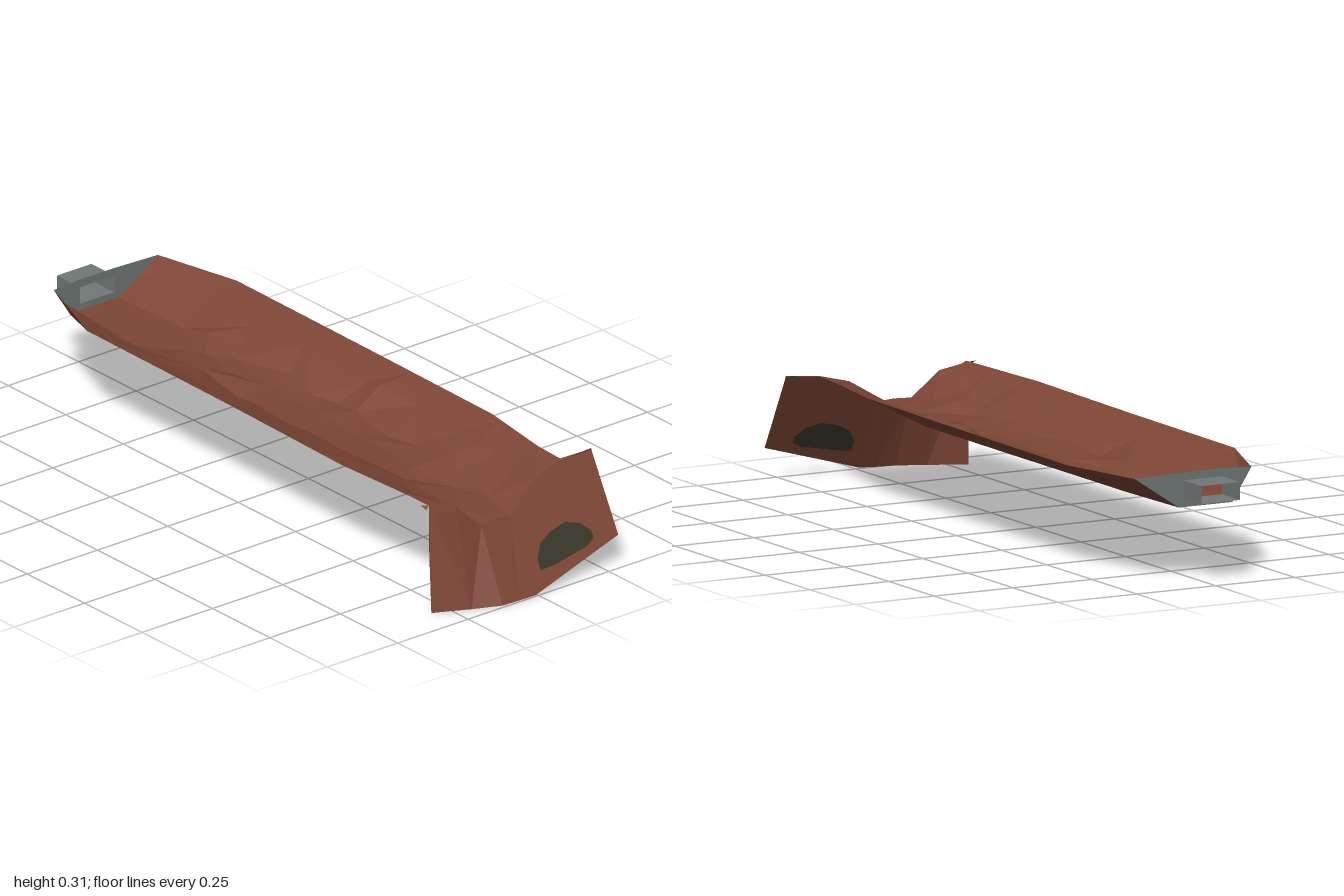
import * as THREE from 'three';

const material = (name, color) => {
  const m = new THREE.MeshStandardMaterial({ color, side: THREE.DoubleSide, flatShading: true });
  m.name = name;
  return m;
};

// Faceted sheet lofted through rows of [x, y, z] points
function sheet(rows, mat, name, closed = false) {
  const pos = [];
  for (let i = 0; i + 1 < rows.length; i++) {
    const a = rows[i], b = rows[i + 1], n = a.length;
    for (let j = 0; j < (closed ? n : n - 1); j++) {
      const k = (j + 1) % n;
      if ((i + j) % 2) pos.push(...a[j], ...b[j], ...b[k], ...a[j], ...b[k], ...a[k]);
      else pos.push(...a[j], ...b[j], ...a[k], ...b[j], ...b[k], ...a[k]);
    }
  }
  const g = new THREE.BufferGeometry();
  g.setAttribute('position', new THREE.Float32BufferAttribute(pos, 3));
  g.computeVertexNormals();
  const mesh = new THREE.Mesh(g, mat);
  mesh.name = name;
  return mesh;
}

// Trough plan: z, left rim, left floor edge, right floor edge, right rim
const PLAN = [
  [-0.9, -0.17, -0.11, 0.06, 0.2],
  [-0.63, -0.27, -0.11, 0.07, 0.26],
  [0, -0.277, -0.115, 0.07, 0.253],
  [0.5, -0.29, -0.115, 0.068, 0.245],
  [0.86, -0.27, -0.115, -0.01, 0.19],
];
const FLOOR = 0.21, RIM = 0.301;

function planAt(z) {
  let i = 0;
  while (i < PLAN.length - 2 && z > PLAN[i + 1][0]) i++;
  const t = (z - PLAN[i][0]) / (PLAN[i + 1][0] - PLAN[i][0]);
  return PLAN[i].map((v, k) => v + (PLAN[i + 1][k] - v) * t);
}

// Height of the smooth trough at a point
function troughY(x, z) {
  const [, a, b, c, d] = planAt(z);
  const t = x < b ? (b - x) / (b - a) : x > c ? (x - c) / (d - c) : 0;
  return FLOOR + (RIM - FLOOR) * Math.min(1, t);
}

// Plane of the right apron panel
const apronZ = (x, y) => 1 - 0.54 * (y - 0.003) + 0.087 * (x + 0.01);
const onApron = (x, y) => [x, y, apronZ(x, y)];

export function createModel() {
  const group = new THREE.Group();
  const rock = material('red brown rock', 0x7d4635);
  const metal = material('grey metal', 0x6f7977);
  const dark = material('dark opening', 0x38362a);

  let seed = 11;
  const rand = () => (seed = (seed * 16807) % 2147483647) / 2147483647;

  // Smooth underside of the trough
  const shell = PLAN.map(([z, a, b, c, d], i) => {
    const e = i === PLAN.length - 1 ? 0.028 : 0;
    return [[a, RIM, z], [b, FLOOR - 0.002, z + e], [c, FLOOR - 0.002, z + e], [d, RIM, z]];
  });
  group.add(sheet(shell, rock, 'troughUnderside'));

  // Rough rock surface inside the trough
  const front = [[-0.27, 0.298, 0.855], [-0.19, 0.28, 0.87], [-0.115, 0.207, 0.892], [-0.06, 0.21, 0.89],
    onApron(-0.01, 0.207), onApron(0.1, 0.278), onApron(0.2, 0.303)];
  const rough = [];
  for (const z of [-0.9, -0.63, -0.48, -0.34, -0.2, -0.08, 0.04, 0.15, 0.26, 0.36, 0.45, 0.54, 0.64, 0.74]) {
    const [, a, b, c, d] = planAt(z);
    const amount = z < -0.6 ? 0 : 1;
    rough.push([a, (a + b) / 2, b, (b + c) / 2, c, (c + d) / 2, d].map((x, j) => {
      if (j === 0 || j === 6) return [x, RIM, z];
      const px = x + amount * (rand() - 0.5) * 0.045;
      const pz = z + amount * (rand() - 0.5) * 0.09;
      const lift = 0.003 + amount * rand() * rand() * (j === 1 || j === 5 ? 0.034 : 0.026);
      return [px, Math.min(RIM, troughY(px, pz) + lift), pz];
    }));
  }
  rough.push(front);
  group.add(sheet(rough, rock, 'rockSurface'));

  // Folded apron hanging at the front
  const apronTop = [[-0.285, 0.205, 0.872], ...front, onApron(0.3, 0.31)];
  const apronBottom = [[-0.303, 0, 0.905], [-0.27, 0, 0.92], [-0.2, 0, 0.955], [-0.12, 0, 0.99], [-0.06, 0.001, 0.995],
    onApron(-0.01, 0.003), onApron(0.1, 0.034), onApron(0.2, 0.062), onApron(0.3, 0.09)];
  group.add(sheet([apronTop, apronBottom], rock, 'frontApron'));

  // Small lips joining the apron corners to the trough
  group.add(sheet([[[-0.292, 0.302, 0.845], [-0.27, 0.298, 0.855]], [[-0.285, 0.29, 0.86], [-0.27, 0.298, 0.855]]], rock, 'leftLip'));
  group.add(sheet([[[0.19, 0.301, 0.845], [0.3, 0.31, 0.865]], [[0.2, 0.303, 0.856], onApron(0.3, 0.306)]], rock, 'rightLip'));

  // Dark opening lying on the apron, sheared to its slope
  const outline = [[0.03, 0.06], [0.032, 0.09], [0.055, 0.122], [0.095, 0.142], [0.15, 0.155], [0.195, 0.142],
    [0.219, 0.12], [0.22, 0.1], [0.19, 0.085], [0.13, 0.074], [0.08, 0.064]];
  const opening = new THREE.ExtrudeGeometry(
    new THREE.Shape(outline.map(([x, y]) => new THREE.Vector2(x, y))), { depth: 0.008, bevelEnabled: false });
  const p = opening.attributes.position;
  for (let i = 0; i < p.count; i++) p.setZ(i, p.getZ(i) - 0.004 + apronZ(p.getX(i), p.getY(i)));
  opening.computeVertexNormals();
  const openingMesh = new THREE.Mesh(opening, dark);
  openingMesh.name = 'darkOpening';
  group.add(openingMesh);

  // End plate with a rectangular hole
  const plate = new THREE.Shape([[-0.17, 0.301], [-0.11, 0.208], [0.06, 0.208], [0.2, 0.301], [0.04, 0.306], [-0.08, 0.306]]
    .map(([x, y]) => new THREE.Vector2(x, y)));
  const hole = [[-0.077, 0.233], [-0.077, 0.283], [0.045, 0.283], [0.045, 0.233]];
  plate.holes.push(new THREE.Path(hole.map(([x, y]) => new THREE.Vector2(x, y))));
  const plateMesh = new THREE.Mesh(new THREE.ShapeGeometry(plate), metal);
  plateMesh.name = 'endPlate';
  plateMesh.position.z = -0.9;
  group.add(plateMesh);

  // Open duct behind the plate
  const ring = (z) => hole.map(([x, y]) => [x, y, z]);
  group.add(sheet([ring(-0.9), ring(-1)], metal, 'openDuct', true));

  return group;
}
